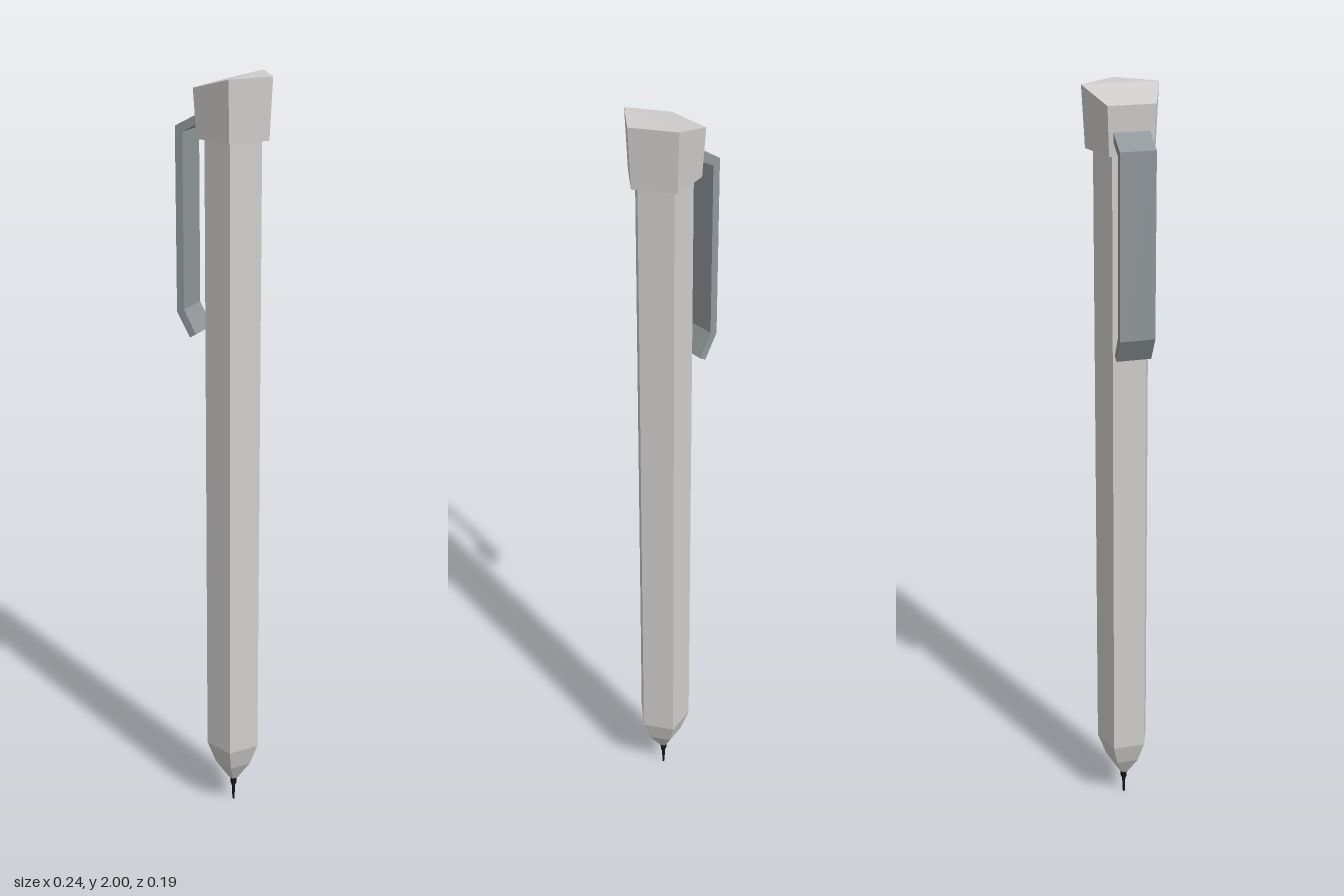
import * as THREE from 'three';

const AXIS_X = 0.018; // the barrel stands slightly off centre because of the clip
const SIDES = 5;

const bodyGrey = new THREE.MeshStandardMaterial({ color: 0xd0cecc });
bodyGrey.name = 'bodyGrey';
const clipSteel = new THREE.MeshStandardMaterial({ color: 0x90979a });
clipSteel.name = 'clipSteel';
const leadBlack = new THREE.MeshStandardMaterial({ color: 0x161616 });
leadBlack.name = 'leadBlack';

// Faceted mesh with hard edges
function facetedMesh(name, geometry, material) {
  const flat = geometry.index ? geometry.toNonIndexed() : geometry;
  flat.computeVertexNormals();
  const mesh = new THREE.Mesh(flat, material);
  mesh.name = name;
  return mesh;
}

// Five-sided turned part, one corner towards +x; profile of [radius, y] from the bottom up
function pentagonLathe(name, profile, material) {
  const points = profile.map(([r, y]) => new THREE.Vector2(r, y));
  const mesh = facetedMesh(name, new THREE.LatheGeometry(points, SIDES, Math.PI / 2), material);
  mesh.position.x = AXIS_X;
  return mesh;
}

// Cap: flares upward, and its top slopes down towards the clip
function createCap() {
  const radius = 0.1, bottom = 1.85, top = 2;
  const geometry = new THREE.CylinderGeometry(radius, 0.092, top - bottom, SIDES, 1, false, Math.PI / 2);
  geometry.translate(0, (top + bottom) / 2, 0);
  const p = geometry.attributes.position;
  for (let i = 0; i < p.count; i++) {
    if (p.getY(i) < top - 0.01) continue;
    if (p.getX(i) < -0.05) p.setY(i, 1.97);
    // the fan centre sits on the crease between the level and sloping faces
    if (Math.hypot(p.getX(i), p.getZ(i)) < 0.01) p.setX(i, radius * Math.cos(Math.PI * 0.4));
  }
  const cap = facetedMesh('cap', geometry, bodyGrey);
  cap.position.x = AXIS_X;
  return cap;
}

// Clip: bent strip of even thickness
function createClip() {
  const outline = [
    [-0.05, 1.912], [-0.12, 1.875], [-0.12, 1.413], [-0.084, 1.35],
    [-0.067, 1.36], [-0.1, 1.42], [-0.1, 1.862], [-0.05, 1.889],
  ];
  const shape = new THREE.Shape(outline.map(([x, y]) => new THREE.Vector2(x, y)));
  const width = 0.088;
  const geometry = new THREE.ExtrudeGeometry(shape, { depth: width, bevelEnabled: false });
  geometry.translate(0, 0, -width / 2);
  return facetedMesh('clip', geometry, clipSteel);
}

export function createModel() {
  const model = new THREE.Group();
  model.name = 'mechanicalPencil';
  model.add(
    pentagonLathe('barrel', [[0.073, 0.19], [0.073, 1.87]], bodyGrey),
    pentagonLathe('tipCone', [[0, 0.07], [0.012, 0.072], [0.05, 0.128], [0.073, 0.19]], bodyGrey),
    pentagonLathe('lead', [[0, 0], [0.003, 0.001], [0.005, 0.045], [0.009, 0.055], [0.009, 0.08]], leadBlack),
    createCap(),
    createClip(),
  );
  return model;
}
